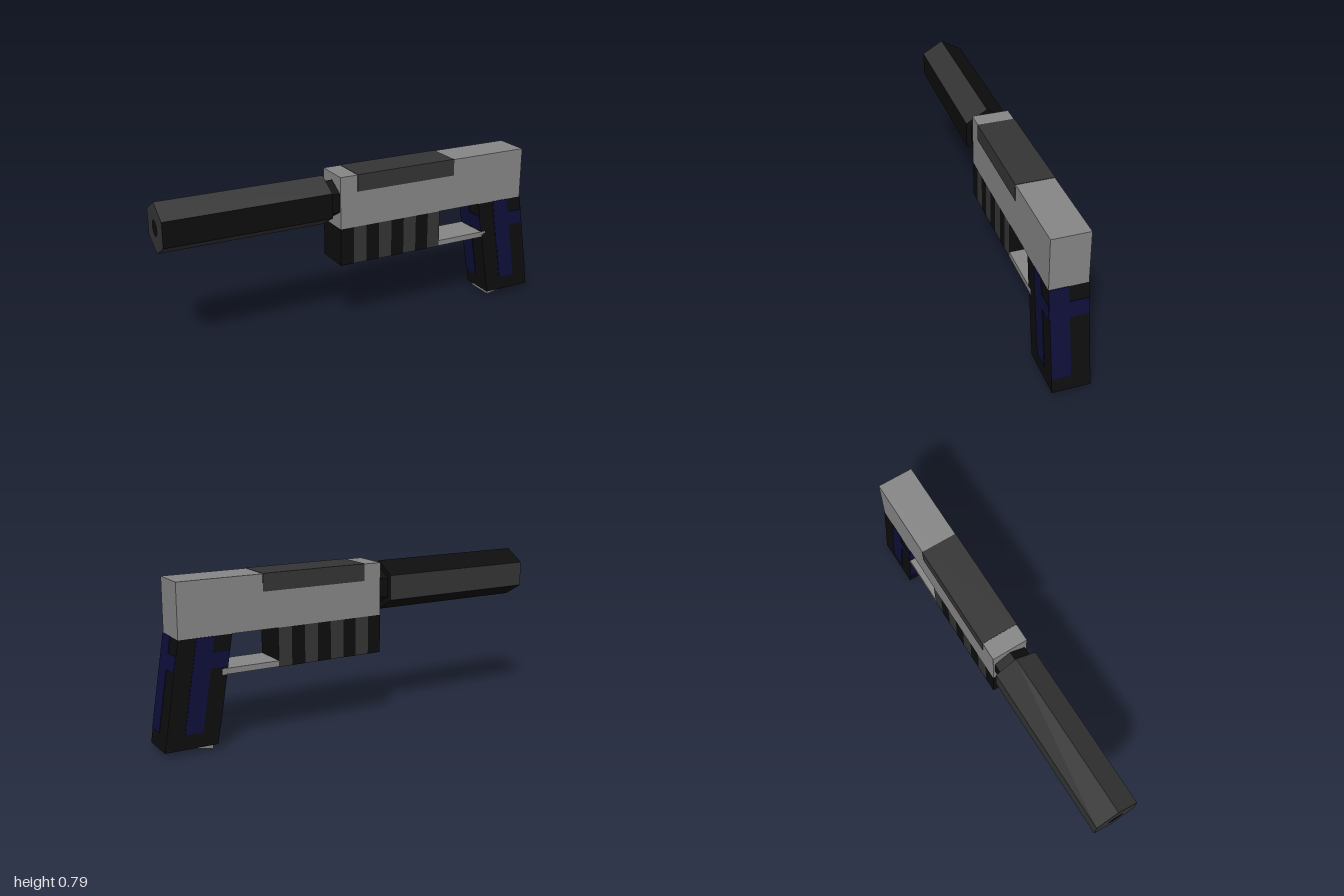
import * as THREE from 'three';

const paint = (name, color) => {
  const m = new THREE.MeshStandardMaterial({ color });
  m.name = name;
  return m;
};

export function createModel() {
  const grey = paint('steel grey', 0x868686);
  const dark = paint('dark grey', 0x343434);
  const black = paint('black', 0x0d0d0d);
  const blue = paint('navy blue', 0x0e0e39);
  const model = new THREE.Group();
  model.name = 'pistol';

  const add = (name, geometry, material, parent = model) => {
    const mesh = new THREE.Mesh(geometry, material);
    mesh.name = name;
    parent.add(mesh);
    return mesh;
  };

  // Box given by its limits on each axis
  const block = (x0, x1, y0, y1, z0, z1) =>
    new THREE.BoxGeometry(x1 - x0, y1 - y0, z1 - z0)
      .translate((x0 + x1) / 2, (y0 + y1) / 2, (z0 + z1) / 2);

  // Box that slants backwards as it goes down from the body
  const TOP = 0.532, SLANT = 0.16;
  const slanted = (...limits) => {
    const g = block(...limits);
    const p = g.attributes.position;
    for (let i = 0; i < p.count; i++) p.setX(i, p.getX(i) + (TOP - p.getY(i)) * SLANT);
    g.computeVertexNormals();
    return g;
  };

  // Six-sided bar along x with a ridge on top and flat faces
  const AXIS = 0.6625;
  const hexBar = (r, x0, x1) => {
    const g = new THREE.CylinderGeometry(r, r, x1 - x0, 6, 1, false, Math.PI / 6)
      .rotateZ(Math.PI / 2).translate((x0 + x1) / 2, AXIS, 0).toNonIndexed();
    g.computeVertexNormals();
    return g;
  };

  // Body with a wrapped dark panel on top
  const W = 0.09;
  add('body', block(-0.13, 0.915, TOP, 0.79, -W, W), grey);
  add('topPanel', block(-0.04, 0.5, 0.708, 0.792, -W - 0.002, W + 0.002), dark);

  // Suppressor with alternating face colours, neck and bore
  const tube = hexBar(0.122, -1, -0.18);
  tube.clearGroups();
  for (let i = 0; i < 6; i++) tube.addGroup(i * 6, 6, i % 2);
  tube.addGroup(36, 18, 0);
  tube.addGroup(54, 18, 1);
  add('suppressor', tube, [dark, black]);
  const neck = hexBar(0.093, -0.18, -0.13);
  neck.clearGroups();
  add('neck', neck, black);
  add('bore', new THREE.CircleGeometry(0.04, 16).rotateY(-Math.PI / 2)
    .translate(-1.001, AXIS, 0), black);

  // Striped handguard under the body
  const guard = new THREE.Group();
  guard.name = 'handguard';
  model.add(guard);
  const step = 0.555 / 8;
  for (let i = 0; i < 8; i++) {
    const x = -0.13 + i * step;
    const stripe = i % 2 ? [black, dark, dark, dark, dark, dark] : black;
    add('handguardStripe', block(x, x + step, 0.345, TOP, -W, W), stripe, guard);
  }
  add('triggerGuard', block(0.425, 0.71, 0.347, 0.375, -W, W), grey);

  // Grip with inlays: a long stripe and a short arm on each side
  const grip = new THREE.Group();
  grip.name = 'grip';
  model.add(grip);
  const F = 0.66, B = 0.915, T = 0.003;
  add('gripCore', slanted(F, B, 0.025, TOP, -W, W),
    [black, black, black, grey, black, black], grip);
  const inlay = (...limits) => add('gripInlay', slanted(...limits), blue, grip);
  const LOW = 0.095, ARM0 = 0.385, ARM1 = 0.46;
  inlay(0.745, 0.833, LOW, TOP, W, W + T);
  inlay(0.833, B, ARM0, ARM1, W, W + T);
  inlay(0.742, 0.83, LOW, TOP, -W - T, -W);
  inlay(F, 0.742, ARM0, ARM1, -W - T, -W);
  inlay(B, B + T, LOW, TOP, 0, W);
  inlay(B, B + T, ARM0, ARM1, -W, 0);
  inlay(F - T, F, LOW, TOP, -W, 0);
  inlay(F - T, F, ARM0, ARM1, 0, W);

  // Magazine base peeking out of the grip
  const magazine = add('magazine', new THREE.BoxGeometry(0.145, 0.1, 0.136), grey);
  magazine.position.set(0.821, 0.061, 0);
  magazine.rotation.z = 0.157;

  return model;
}
